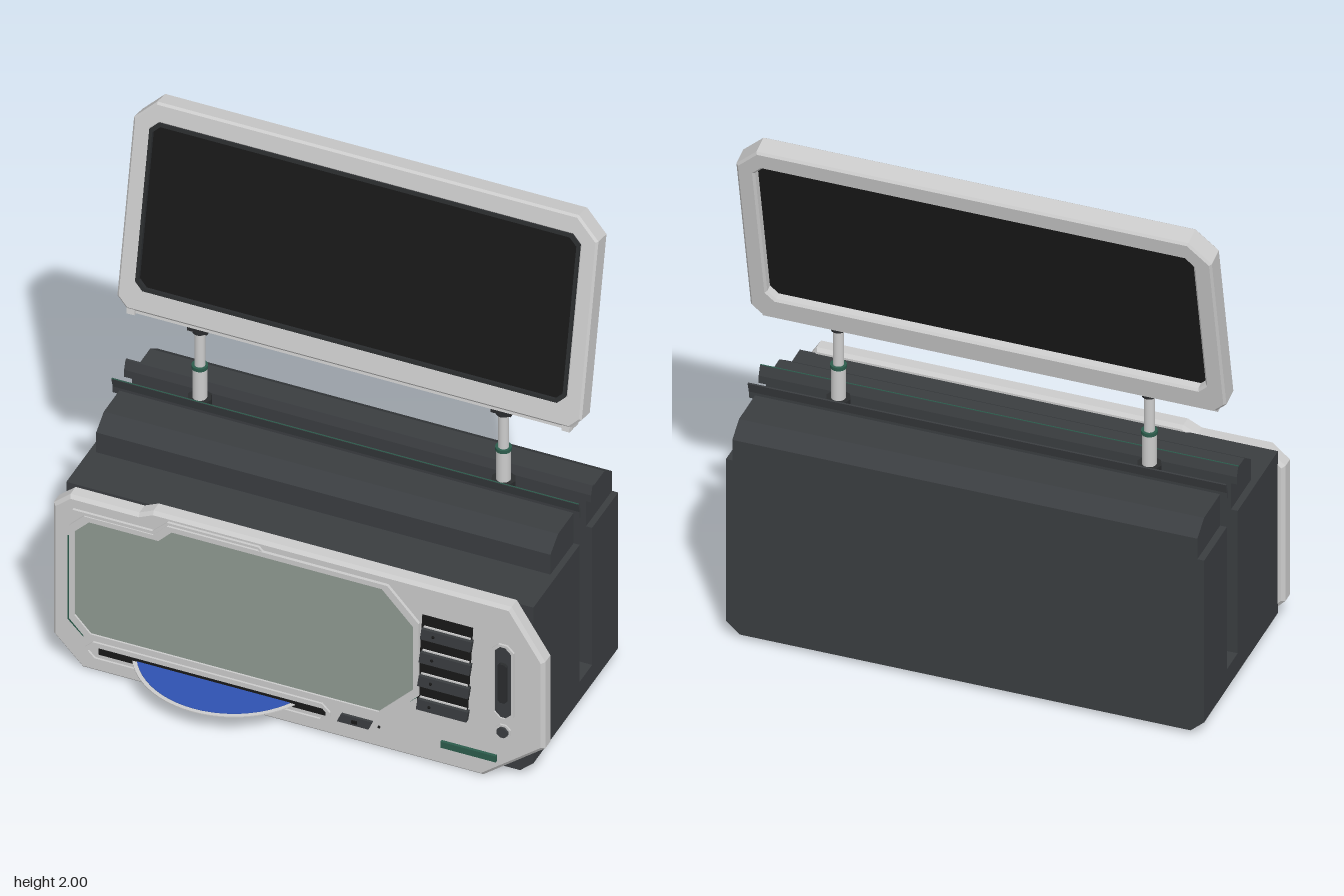
import * as THREE from 'three';

const mat = (color) => new THREE.MeshStandardMaterial({ color, side: THREE.DoubleSide });
const GREY = mat(0xcccccc), DARK = mat(0x3a3d40), BLACK = mat(0x181818), COAL = mat(0x2a2c2e);
const GLASS = mat(0x8f9a92), GREEN = mat(0x2c5c4c), BLUE = mat(0x2f52b0);

function add(parent, name, geometry, material, x = 0, y = 0, z = 0) {
  const m = new THREE.Mesh(geometry, material);
  m.name = name;
  m.position.set(x, y, z);
  parent.add(m);
  return m;
}
const box = (w, h, d) => new THREE.BoxGeometry(w, h, d);
const outline = (pts) => pts.map(([x, y]) => new THREE.Vector2(x, y));

// Extrude an xy outline from z0 to z1, with optional hole and inward bevel
function slab(pts, z0, z1, hole, bevel = 0) {
  const shape = new THREE.Shape(outline(pts));
  if (hole) shape.holes.push(new THREE.Path(outline(hole)));
  const g = new THREE.ExtrudeGeometry(shape, {
    depth: z1 - z0 - 2 * bevel, bevelEnabled: bevel > 0, bevelThickness: bevel,
    bevelSize: bevel, bevelOffset: -bevel, bevelSegments: 1,
  });
  return g.translate(0, 0, z0 + bevel);
}
// Extrude a (z, y) profile along x
const beam = (pts, x0, x1) => slab(pts, 0, x1 - x0).rotateY(-Math.PI / 2).translate(x1, 0, 0);

// Rectangle with cut corners: b at the bottom, t at the top
function cutRect(x0, x1, y0, y1, b, t = b) {
  return [[x0 + b, y0], [x1 - b, y0], [x1, y0 + b], [x1, y1 - t], [x1 - t, y1],
    [x0 + t, y1], [x0, y1 - t], [x0, y0 + b]];
}
// Parallelogram leaning right
const lean = (x0, x1, y0, y1, s) => [[x0, y0], [x1 - s, y0], [x1, y1], [x0 + s, y1]];

function buildBody() {
  const g = new THREE.Group();
  g.name = 'body';
  const x0 = -0.9, x1 = 0.853, mid = (x0 + x1) / 2, w = x1 - x0;
  // Chamfered base, then a front and a back block with the through slot between
  add(g, 'base', slab([[x0 + 0.05, 0.02], [x1 - 0.05, 0.02], [x1, 0.065], [x1, 0.145], [x0, 0.145], [x0, 0.065]], -0.48, 0.235), DARK);
  add(g, 'frontBlock', box(w, 0.59, 0.39), DARK, mid, 0.44, 0.04);
  add(g, 'backBlock', box(w, 0.59, 0.22), DARK, mid, 0.44, -0.37);
  // Raised tops with sloped outer edges
  add(g, 'frontTop', beam([[0.04, 0.7], [0.04, 0.82], [-0.025, 0.865], [-0.155, 0.865], [-0.155, 0.7]], -0.875, 0.83), DARK);
  add(g, 'backTop', beam([[-0.26, 0.7], [-0.26, 0.865], [-0.415, 0.865], [-0.48, 0.82], [-0.48, 0.7]], -0.875, 0.83), DARK);
  // Flared rails either side of the slot
  for (const s of [1, -1]) {
    const z = (d) => -0.2075 + s * d;
    add(g, 'rail', beam([[z(0.044), 0.85], [z(0.052), 0.85], [z(0.052), 0.875], [z(0.064), 0.915], [z(0.056), 0.915], [z(0.044), 0.88]], x0, x1), DARK);
  }
  add(g, 'railEdge', box(w, 0.005, 0.004), GREEN, mid, 0.914, -0.147);
  return g;
}

function buildPost(x) {
  const g = new THREE.Group();
  g.name = 'post';
  const cyl = (name, r, y0, y1, m, n = 20) =>
    add(g, name, new THREE.CylinderGeometry(r, r, y1 - y0, n), m, x, (y0 + y1) / 2, -0.205);
  cyl('lowerTube', 0.026, 0.69, 1.02, GREY);
  cyl('upperTube', 0.019, 1.02, 1.19, GREY);
  cyl('ring', 0.029, 1.017, 1.03, GREEN);
  cyl('clamp', 0.044, 0.85, 0.892, COAL, 8);
  cyl('cap', 0.026, 1.172, 1.185, COAL);
  add(g, 'topMount', box(0.075, 0.025, 0.05), COAL, x, 1.195, -0.205);
  return g;
}

function buildScreen() {
  const g = new THREE.Group();
  g.name = 'upperScreen';
  const outer = cutRect(-0.895, 0.848, 0, 0.805, 0.04, 0.08);
  const opening = cutRect(-0.826, 0.782, 0.09, 0.727, 0.03);
  add(g, 'screenFrame', slab(outer, -0.085, 0, opening, 0.008), GREY);
  // Thin dark lip standing just proud of the frame
  add(g, 'screenLip', slab(cutRect(-0.83, 0.786, 0.086, 0.731, 0.03), -0.02, 0.006,
    cutRect(-0.818, 0.774, 0.098, 0.719, 0.028)), COAL);
  add(g, 'screenPanel', slab(opening, -0.05, -0.008), BLACK);
  add(g, 'bottomLip', box(1.67, 0.016, 0.06), GREY, -0.0235, -0.004, -0.042);
  for (const x of [-0.84, 0.793]) add(g, 'bottomFoot', box(0.03, 0.024, 0.03), GREY, x, -0.006, -0.02);
  g.position.set(0, 1.213, -0.168);
  g.rotation.x = -0.207;
  return g;
}

function buildFace() {
  const g = new THREE.Group();
  g.name = 'facePlate';
  const F = 0.297;
  add(g, 'plate', slab([[-0.815, 0.002], [0.688, 0.002], [0.92, 0.185], [0.92, 0.556], [0.794, 0.755], [-0.55, 0.755],
    [-0.603, 0.73], [-0.862, 0.73], [-0.925, 0.675], [-0.925, 0.116]], 0.23, F, null, 0.012), GREY);

  // Display: green shadow line, grey bezel, glass
  const display = (e) => [[-0.785 - e, 0.16 - e], [0.312 + e, 0.16 - e], [0.443 + e, 0.295 - e], [0.443 + e, 0.58 + e],
    [0.325 + e, 0.708 + e], [-0.48 - e, 0.708 + e], [-0.53 - e, 0.656 + e], [-0.79 - e, 0.656 + e],
    [-0.845 - e, 0.6 + e], [-0.845 - e, 0.225 - e]];
  add(g, 'displayShadowLine', slab([[-0.81, 0.143], [0.315, 0.143], [0.465, 0.285], [0.465, 0.36], [-0.867, 0.36], [-0.867, 0.2]],
    F - 0.01, F + 0.002), GREEN);
  add(g, 'displayShadowSide', box(0.008, 0.22, 0.012), GREEN, -0.863, 0.45, F - 0.004);
  add(g, 'displayBezel', slab(display(0.012), F - 0.01, F + 0.012, display(-0.008)), GREY);
  add(g, 'displayGlass', slab(display(-0.007), F - 0.01, F + 0.005), GLASS);
  // Stepped trim above the display
  add(g, 'displayTrim', slab([[-0.845, 0.67], [-0.54, 0.67], [-0.485, 0.725], [-0.15, 0.725], [-0.135, 0.712], [-0.13, 0.718],
    [-0.147, 0.735], [-0.49, 0.735], [-0.545, 0.682], [-0.845, 0.682]], F - 0.01, F + 0.01), GREY);

  // Four slanted louvres
  add(g, 'ventBack', slab(lean(0.443, 0.655, 0.222, 0.63, 0.022), F - 0.01, F + 0.003), BLACK);
  for (let i = 0; i < 4; i++) {
    const y = 0.228 + i * 0.102, x = 0.447 + i * 0.005;
    add(g, 'louvre', slab(lean(x, x + 0.195, y, y + 0.045, 0.006), F, F + 0.018), DARK);
    add(g, 'louvreEdge', box(0.175, 0.006, 0.005), GREY, x + 0.098, y + 0.05, F + 0.006);
    add(g, 'louvreStud', new THREE.SphereGeometry(0.006, 8, 6), BLACK, x + 0.05, y + 0.023, F + 0.018);
  }

  // Tall slider and small button
  add(g, 'sliderRim', slab(cutRect(0.727, 0.81, 0.27, 0.595, 0.025), F - 0.01, F + 0.008, cutRect(0.737, 0.8, 0.28, 0.585, 0.022)), GREY);
  add(g, 'sliderBed', slab(cutRect(0.737, 0.8, 0.28, 0.585, 0.022), F - 0.01, F + 0.002), DARK);
  add(g, 'sliderGrip', slab(cutRect(0.752, 0.785, 0.35, 0.515, 0.008), F, F + 0.014), COAL);
  add(g, 'buttonRim', slab(cutRect(0.74, 0.797, 0.193, 0.25, 0.017), F - 0.01, F + 0.006), GREY);
  add(g, 'button', slab(cutRect(0.748, 0.789, 0.201, 0.242, 0.013), F, F + 0.014), DARK);

  // Disc slot, small controls and indicator
  add(g, 'slotRim', slab(cutRect(-0.8, 0.12, 0.055, 0.133, 0.03), F - 0.01, F + 0.008, cutRect(-0.788, 0.108, 0.066, 0.122, 0.025)), GREY);
  add(g, 'slot', box(0.85, 0.024, 0.012), BLACK, -0.325, 0.095, F - 0.002);
  add(g, 'key', slab(lean(0.147, 0.28, 0.078, 0.113, 0.015), F - 0.01, F + 0.01), DARK);
  add(g, 'keyStud', box(0.02, 0.012, 0.006), BLACK, 0.213, 0.095, F + 0.012);
  add(g, 'pinhole', new THREE.CylinderGeometry(0.005, 0.005, 0.008, 8).rotateX(Math.PI / 2), BLACK, 0.302, 0.095, F);
  add(g, 'indicator', box(0.208, 0.026, 0.022), GREEN, 0.64, 0.098, F);
  return g;
}

function buildDisc() {
  const g = new THREE.Group();
  g.name = 'disc';
  add(g, 'discBody', new THREE.CylinderGeometry(0.35, 0.35, 0.004, 64), GREY);
  add(g, 'discTop', new THREE.CylinderGeometry(0.335, 0.335, 0.002, 64), BLUE, 0, 0.003, 0);
  g.position.set(-0.318, 0.095, 0.13);
  return g;
}

export function createModel() {
  const model = new THREE.Group();
  model.name = 'deskConsole';
  model.add(buildBody(), buildFace(), buildDisc(), buildPost(-0.595), buildPost(0.545), buildScreen());
  return model;
}
